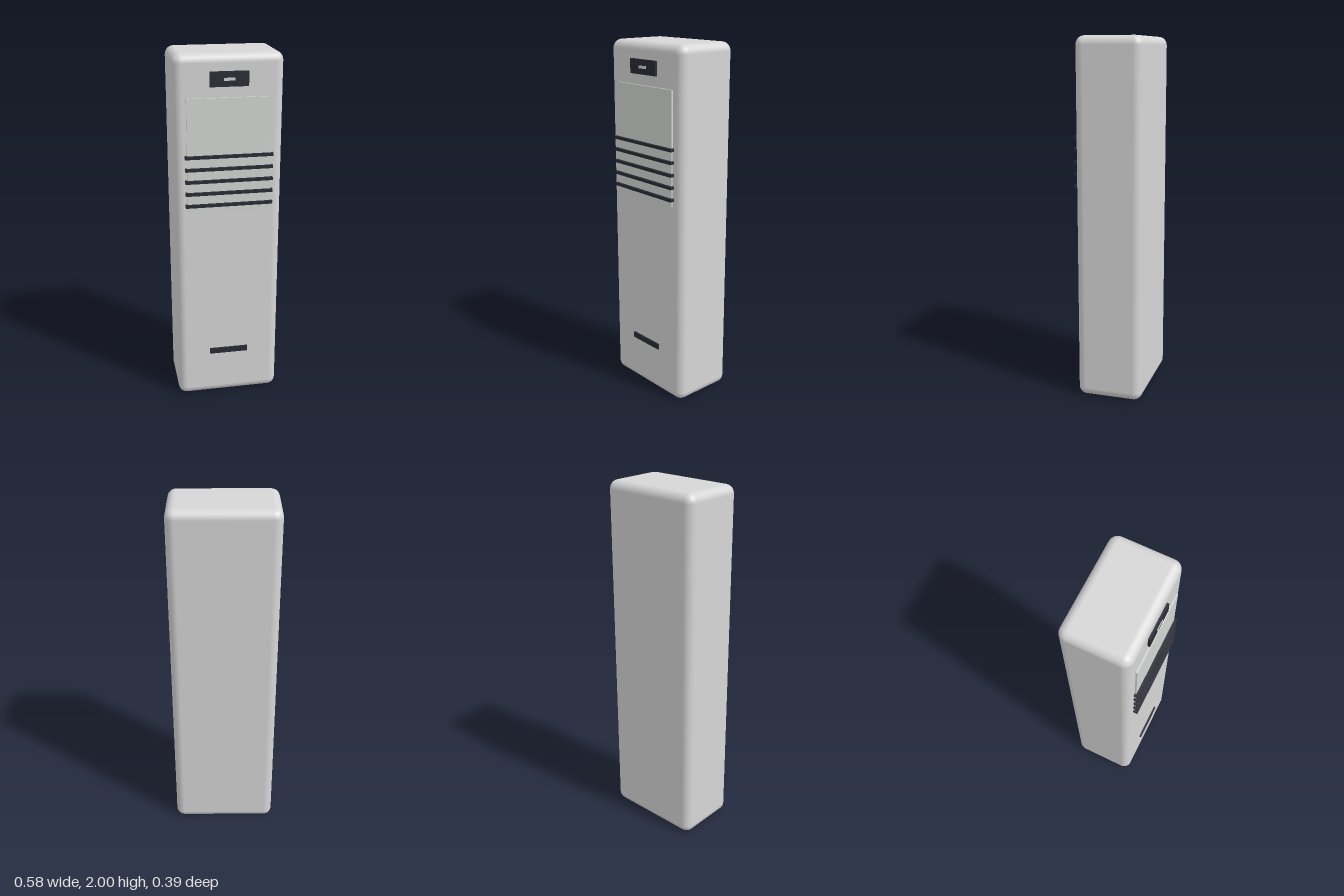
import * as THREE from 'three';
import { RoundedBoxGeometry } from 'three/addons/geometries/RoundedBoxGeometry.js';

export function createModel() {
  const group = new THREE.Group();
  const material = (name, color) => {
    const m = new THREE.MeshStandardMaterial({ color });
    m.name = name;
    return m;
  };
  const shell = material('light grey shell', 0xd6d6d6);
  const panelGrey = material('pale green grey', 0xd2d6d1);
  const dark = material('dark slate', 0x2a2a35);
  const pale = material('pale label', 0xd0d0d4);

  const FRONT = 0.172; // front face of the casing

  // Box centred on x, spanning depths z0 to z1
  const block = (name, mat, width, y0, y1, z0, z1) => {
    const mesh = new THREE.Mesh(new THREE.BoxGeometry(width, y1 - y0, z1 - z0), mat);
    mesh.position.set(0, (y0 + y1) / 2, (z0 + z1) / 2);
    mesh.name = name;
    group.add(mesh);
  };

  // Rounded casing
  const body = new THREE.Mesh(new RoundedBoxGeometry(0.584, 2, 0.37, 4, 0.048), shell);
  body.position.set(0, 1, -0.013);
  body.name = 'casing';
  group.add(body);

  // Raised front panel
  block('frontPanel', panelGrey, 0.45, 1.155, 1.775, FRONT - 0.01, 0.181);

  // Grille slats across the lower part of the panel
  for (let i = 0; i < 5; i++) {
    const y = 1.197 + i * 0.0673;
    block('slat' + (i + 1), dark, 0.472, y - 0.008, y + 0.008, FRONT, 0.197);
  }

  // Display with its small label
  block('display', dark, 0.204, 1.832, 1.91, FRONT - 0.01, 0.184);
  block('displayLabel', pale, 0.058, 1.863, 1.878, 0.181, 0.187);

  // Lower slot
  block('lowerSlot', dark, 0.22, 0.271, 0.304, FRONT - 0.01, 0.181);

  return group;
}
